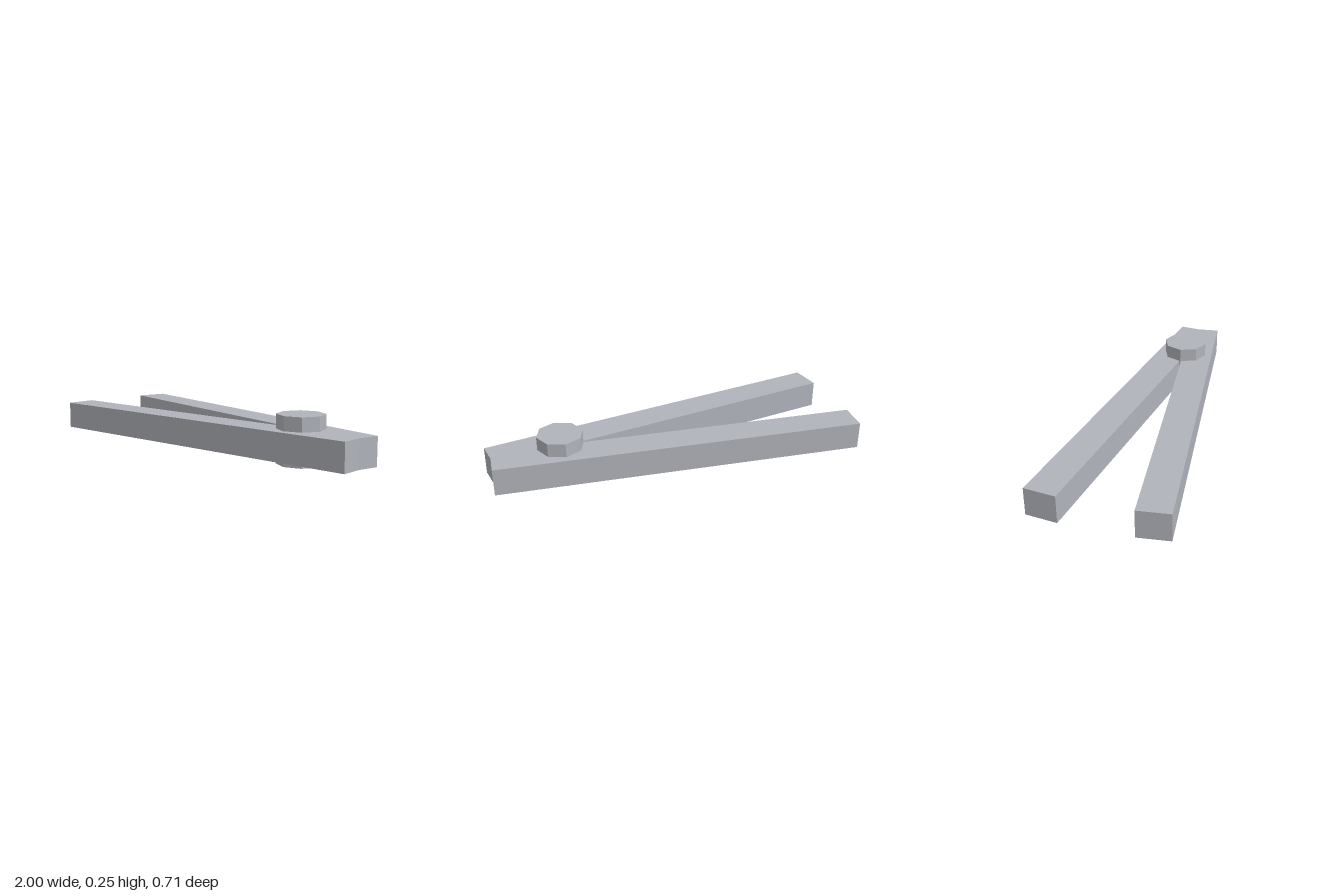
import * as THREE from 'three';

export function createModel() {
  const model = new THREE.Group();
  const steel = new THREE.MeshStandardMaterial({ color: 0xb0b3ba });
  steel.name = 'steelGrey';

  // Two legs crossing at the hinge: half outline, mirrored about the centre line
  const half = [[0.54, 0], [-1, 0.187], [-0.98, 0.355], [1, 0.117], [0.986, 0]];
  const mirrored = half.slice(1, -1).reverse().map(([x, y]) => [x, -y]);
  const outline = [...half, ...mirrored].map(([x, y]) => new THREE.Vector2(x, y));
  const legsGeometry = new THREE.ExtrudeGeometry(new THREE.Shape(outline), {
    depth: 0.149, bevelEnabled: false,
  });
  legsGeometry.rotateX(-Math.PI / 2);
  const legs = new THREE.Mesh(legsGeometry, steel);
  legs.name = 'legs';
  legs.position.y = 0.027;
  model.add(legs);

  // Eight-sided pivot bolt through the hinge
  const bolt = new THREE.Mesh(new THREE.CylinderGeometry(0.124, 0.124, 0.25, 8), steel);
  bolt.name = 'pivotBolt';
  bolt.geometry = bolt.geometry.toNonIndexed();
  bolt.geometry.computeVertexNormals();
  bolt.position.set(0.62, 0.125, 0);
  model.add(bolt);

  return model;
}
